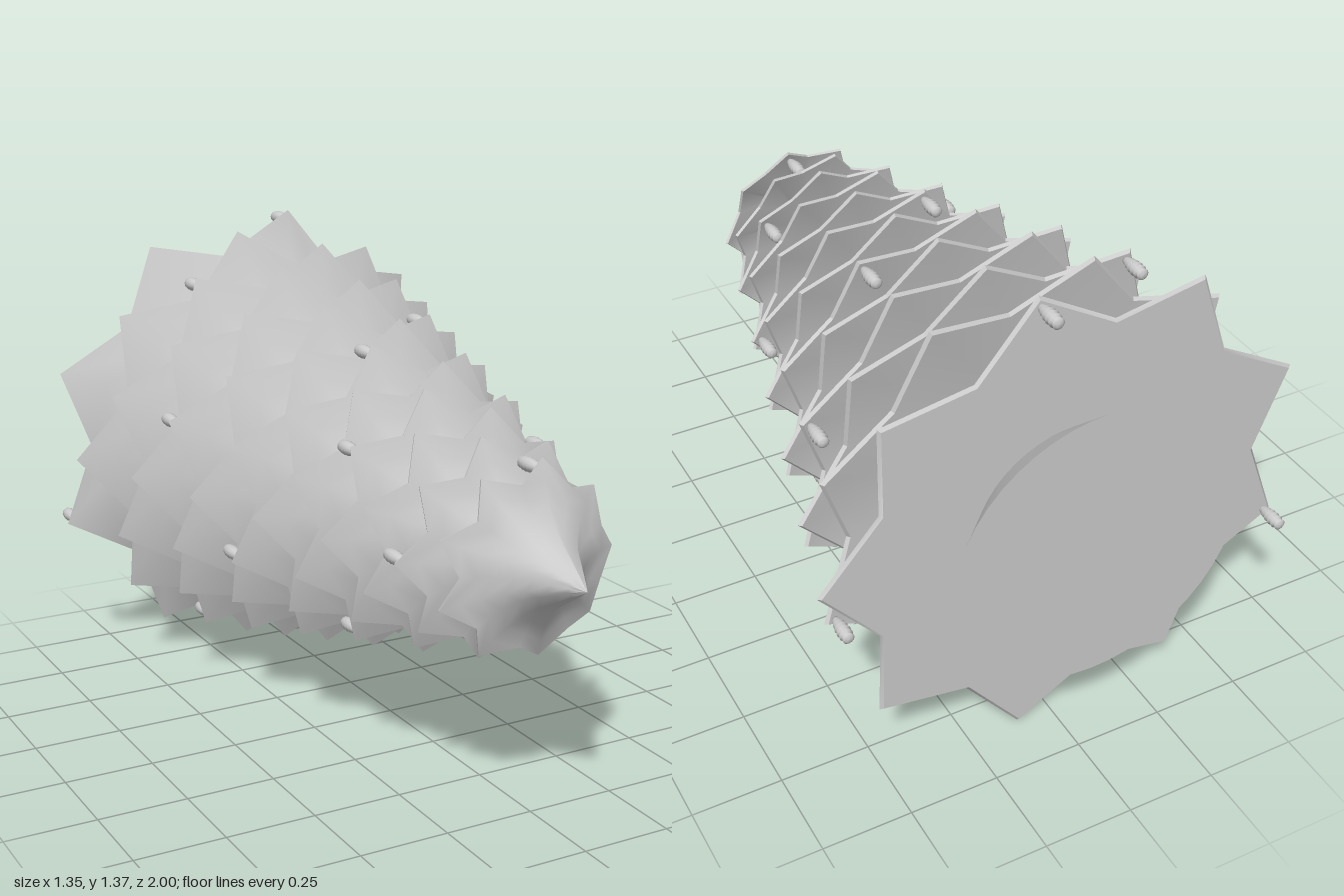
import * as THREE from 'three';
import { toCreasedNormals, mergeGeometries } from 'three/addons/utils/BufferGeometryUtils.js';

const POINTS = 9, COLS = POINTS * 2, TIERS = 13;
const CX = -0.02, CY = 0.69;
const rad = THREE.MathUtils.degToRad;

// Ridge profile of one tier, from apex to rim: [distance ahead of rim, radius], per unit of tier radius
const PROFILE = [[1.02, 0], [0.85, 0.11], [0.68, 0.215], [0.5, 0.325], [0.34, 0.455], [0.19, 0.64], [0.09, 0.81], [0, 1]];

// Skin a list of star-shaped rings; each ring is { r, valleyR, z, valleyZ }
function loft(rings, phase) {
  const pos = [], index = [];
  for (const g of rings) {
    for (let i = 0; i < COLS; i++) {
      const a = phase + (i * Math.PI) / POINTS;
      const valley = i % 2 === 1;
      const r = valley ? g.valleyR : g.r;
      pos.push(r * Math.cos(a), r * Math.sin(a), valley ? g.valleyZ : g.z);
    }
  }
  for (let j = 0; j < rings.length - 1; j++) {
    for (let i = 0; i < COLS; i++) {
      const n = (i + 1) % COLS;
      const a = j * COLS + i, b = a + COLS, c = (j + 1) * COLS + n, d = j * COLS + n;
      index.push(a, b, c, a, c, d);
    }
  }
  const geo = new THREE.BufferGeometry();
  geo.setAttribute('position', new THREE.Float32BufferAttribute(pos, 3));
  geo.setIndex(index);
  return geo;
}

// One tier of branches: concave pleated skirt, thin lip and cupped underside
function tierGeometry(R, phase, lift, cup) {
  const ring = (r, z, valleyLift) => ({ r, valleyR: r * 0.81, z, valleyZ: z + valleyLift });
  const skirt = loft(PROFILE.map(([d, r]) => ring(r * R, d * R, lift * r ** 2)), phase);
  skirt.computeVertexNormals();
  const under = loft([
    ring(R, 0, lift),
    ring(R * 0.985, -0.008, lift),
    ring(R * 0.4, cup * 0.75 - 0.008, 0),
    ring(0, cup - 0.008, 0),
  ], phase);
  return mergeGeometries([skirt.toNonIndexed(), toCreasedNormals(under, 0.6)]);
}

// Small ribbed cone hanging backwards from a branch tip
function coneGeometry() {
  const pts = [new THREE.Vector2(0, 0)];
  const ribs = 6, length = 0.085;
  for (let i = 0; i < ribs; i++) {
    const t = (i + 0.5) / ribs;
    const r = 0.008 + 0.012 * Math.sin(Math.PI * Math.min(1, t * 0.8 + 0.02));
    pts.push(new THREE.Vector2(r * 0.8, (i / ribs) * length + 0.001));
    pts.push(new THREE.Vector2(r, ((i + 0.65) / ribs) * length));
  }
  pts.push(new THREE.Vector2(0.009, length * 0.985), new THREE.Vector2(0, length));
  return new THREE.LatheGeometry(pts, 12).rotateX(-Math.PI / 2);
}

export function createModel() {
  const model = new THREE.Group();
  const mat = new THREE.MeshStandardMaterial({ color: 0xcccccc });
  const tree = new THREE.Group();
  tree.name = 'tree';
  tree.position.set(CX, CY, 0);
  model.add(tree);

  const add = (name, geo, x = 0, y = 0, z = 0) => {
    const mesh = new THREE.Mesh(geo, mat);
    mesh.name = name;
    mesh.position.set(x, y, z);
    tree.add(mesh);
  };

  const cone = coneGeometry();
  for (let k = 0; k < TIERS; k++) {
    const R = 0.265 + (0.43 * k) / (TIERS - 1);
    const z = 0.73 - (1.578 * k) / (TIERS - 1);
    const last = k === TIERS - 1;
    const odd = k % 2 === 1;

    // Star tiers, alternately turned by half a point; the last has a flat back
    add('branchTier', tierGeometry(R, odd ? Math.PI / POINTS : 0, last ? 0 : 0.04, last ? 0 : 0.12), 0, 0, z);

    // Hanging cones spiral around the tiers
    const angles = odd ? [200 - 20 * k] : [80 - 20 * k, 320 - 20 * k];
    for (const deg of angles) {
      const a = rad(deg), r = R - 0.03;
      add('hangingCone', cone, r * Math.cos(a), r * Math.sin(a), z - 0.003);
    }
  }

  // Flared foot behind the last tier
  const foot = new THREE.CylinderGeometry(0.27, 0.41, 0.15, 48).rotateX(Math.PI / 2);
  add('foot', foot, 0, 0, -0.925);
  return model;
}
